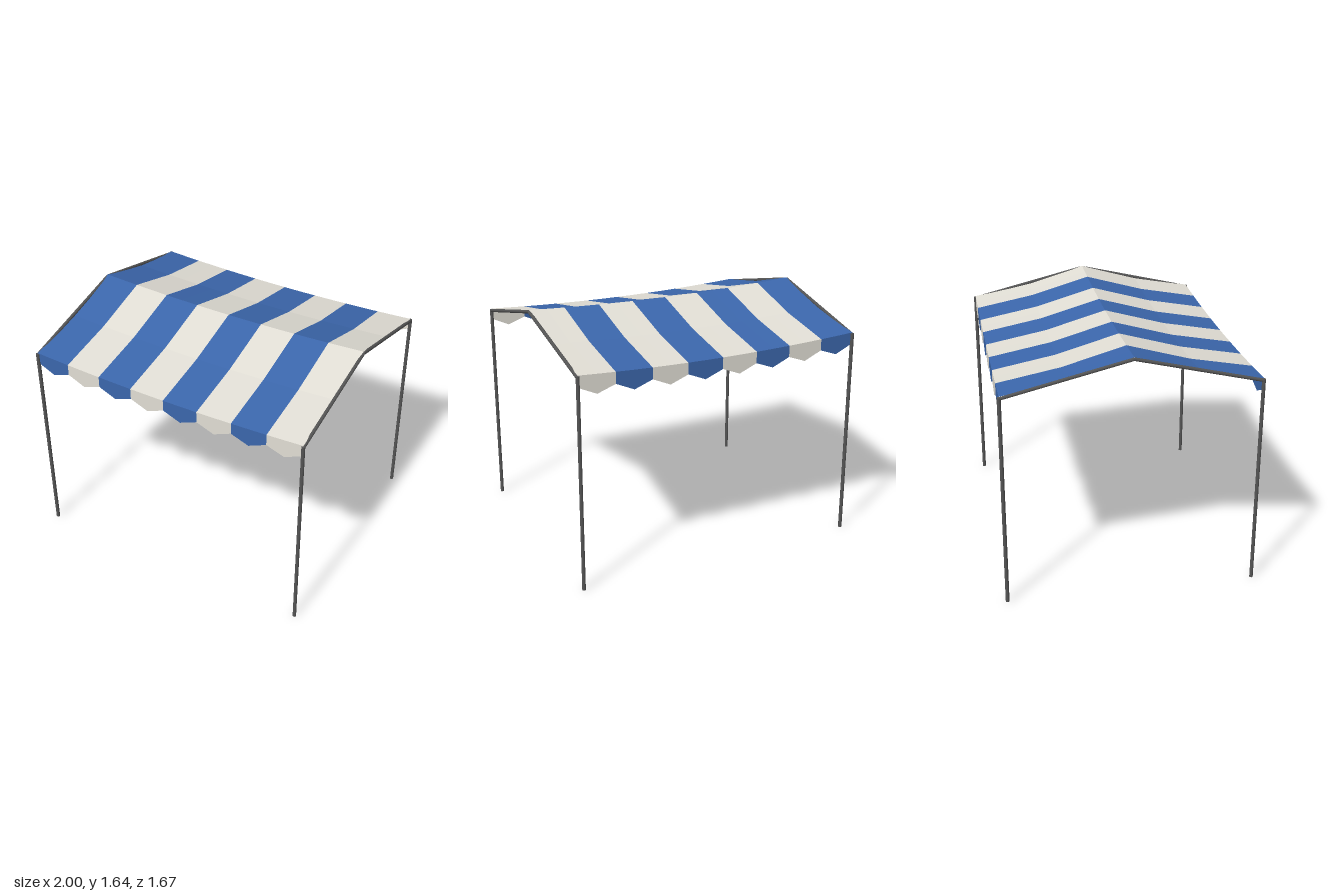
import * as THREE from 'three';

const HALF_X = 0.986, HALF_Z = 0.822;
const EAVE = 1.445, RIDGE = 1.64, STRIPES = 8;

const fabric = (color) => new THREE.MeshStandardMaterial({ color, flatShading: true, side: THREE.DoubleSide });
const blue = fabric(0x3b66ab);
const cream = fabric(0xe0ddd4);
const metal = new THREE.MeshStandardMaterial({ color: 0x555555 });

// The cloth hangs in a shallow curve between the two end frames
const sag = (x) => 0.031 * (1 - (x / HALF_X) ** 2);

// Quad sheet over a grid of points: rows[i][j]
function sheet(rows) {
  const n = rows[0].length, index = [];
  for (let i = 0; i < rows.length - 1; i++)
    for (let j = 0; j < n - 1; j++) {
      const a = i * n + j, b = a + n;
      index.push(a, b, b + 1, a, b + 1, a + 1);
    }
  const geo = new THREE.BufferGeometry();
  geo.setAttribute('position', new THREE.Float32BufferAttribute(rows.flat(2), 3));
  geo.setIndex(index);
  geo.computeVertexNormals();
  return geo;
}

// Round bar between two points
function bar(name, from, to, radius) {
  const dir = to.clone().sub(from);
  const mesh = new THREE.Mesh(new THREE.CylinderGeometry(radius, radius, dir.length(), 8), metal);
  mesh.position.copy(from).add(to).multiplyScalar(0.5);
  mesh.quaternion.setFromUnitVectors(new THREE.Vector3(0, 1, 0), dir.normalize());
  mesh.name = name;
  return mesh;
}

export function createModel() {
  const model = new THREE.Group();
  model.name = 'marketCanopy';

  // Striped roof with a dip halfway down each slope
  const mid = (EAVE + RIDGE) / 2 - 0.02;
  const profile = [[-HALF_Z, EAVE], [-HALF_Z / 2, mid], [0, RIDGE], [HALF_Z / 2, mid], [HALF_Z, EAVE]];
  const width = 2 * HALF_X / STRIPES;
  for (let s = 0; s < STRIPES; s++) {
    const x0 = -HALF_X + s * width;
    const xs = [x0, x0 + width / 2, x0 + width];
    const material = s % 2 ? cream : blue;
    const roof = new THREE.Mesh(sheet(profile.map(([z, y]) => xs.map((x) => [x, y - sag(x), z]))), material);
    roof.name = 'roofStripe';
    model.add(roof);

    // Pointed valance flaps along both eaves
    for (const side of [1, -1]) {
      const order = side > 0 ? xs : [...xs].reverse();
      const top = order.map((x) => [x, EAVE - sag(x), side * HALF_Z]);
      const bottom = order.map((x, i) => [x, EAVE - sag(x) - (i === 1 ? 0.127 : 0.077), side * HALF_Z]);
      const flap = new THREE.Mesh(sheet([top, bottom]), material);
      flap.name = side > 0 ? 'frontValance' : 'backValance';
      model.add(flap);
    }
  }

  // End frames: two posts and two rafters on each side
  for (const sx of [1, -1]) {
    const frame = new THREE.Group();
    frame.name = sx > 0 ? 'leftFrame' : 'rightFrame';
    const x = sx * HALF_X;
    const apex = new THREE.Vector3(x, RIDGE - 0.012, 0);
    for (const sz of [1, -1]) {
      const z = sz * HALF_Z;
      frame.add(bar('post', new THREE.Vector3(x, 0, z), new THREE.Vector3(x, EAVE - 0.005, z), 0.0125));
      frame.add(bar('rafter', new THREE.Vector3(x, EAVE - 0.014, z), apex, 0.0115));
    }
    model.add(frame);
  }
  return model;
}
